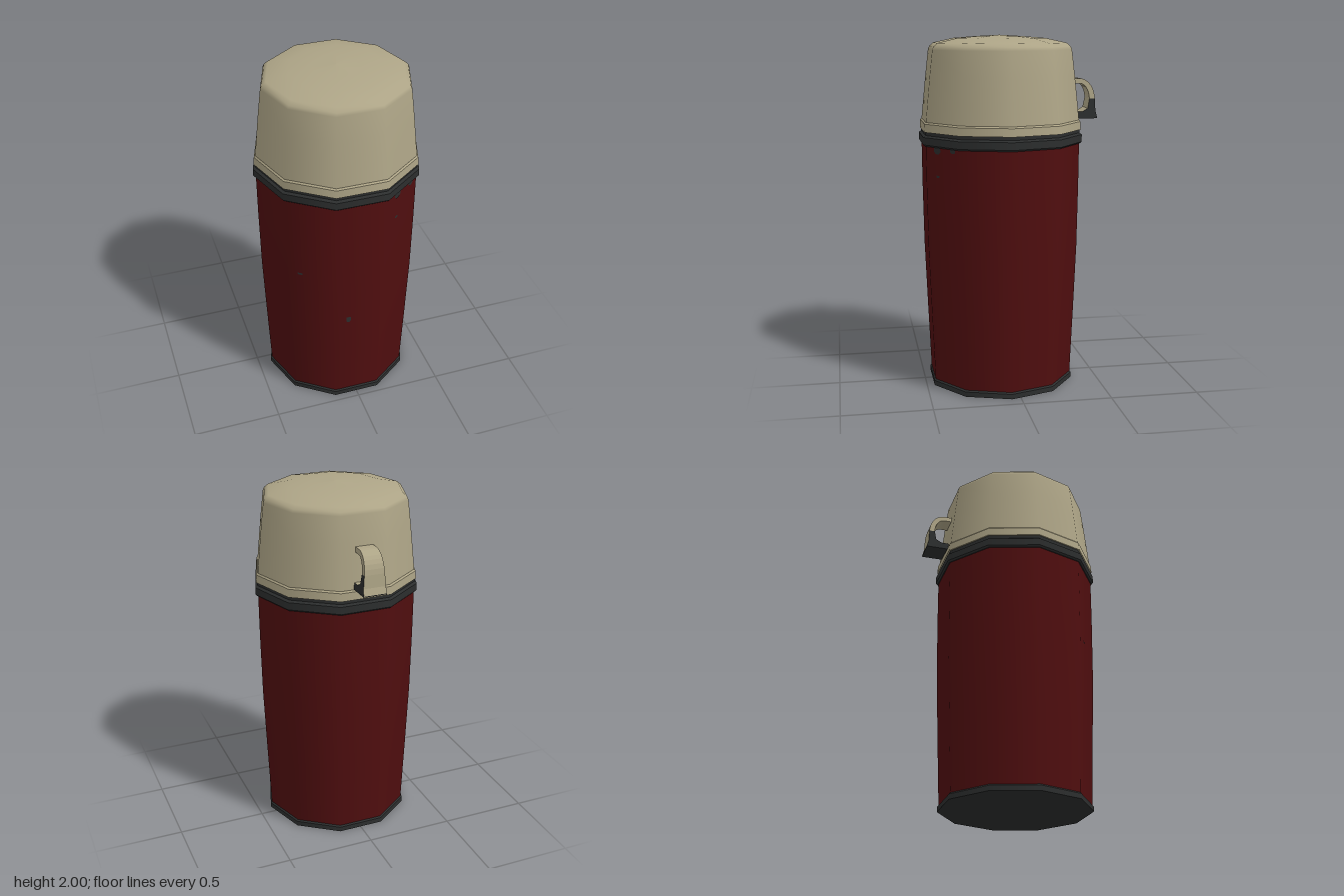
import * as THREE from 'three';

const SIDES = 10;

export function createModel() {
  const material = (name, color) => {
    const m = new THREE.MeshStandardMaterial({ color });
    m.name = name;
    return m;
  };
  const cream = material('cream', 0xaea587);
  const red = material('dark red', 0x500e0f);
  const dark = material('charcoal', 0x2c2e2e);

  const model = new THREE.Group();
  model.name = 'vacuumFlask';
  // The ten-sided flask sits slightly forward to leave room for the handle
  const flask = new THREE.Group();
  flask.name = 'flask';
  flask.position.z = 0.053;
  model.add(flask);

  const add = (parent, name, geometry, mat) => {
    const mesh = new THREE.Mesh(geometry, mat);
    mesh.name = name;
    parent.add(mesh);
    return mesh;
  };
  // Straight or tapered ten-sided ring, closed at both ends
  const band = (name, y0, y1, r0, r1, mat) => {
    const g = new THREE.CylinderGeometry(r1, r0, y1 - y0, SIDES);
    g.rotateY(Math.PI / 2).translate(0, (y0 + y1) / 2, 0);
    add(flask, name, g, mat);
  };
  // Smooth turned surface
  const turned = (name, points, mat) => {
    const g = new THREE.LatheGeometry(points.map(p => new THREE.Vector2(...p)), SIDES);
    g.rotateY(Math.PI / 2);
    add(flask, name, g, mat);
  };

  // Base and body
  band('base', 0, 0.028, 0.425, 0.425, dark);
  band('baseBevel', 0.028, 0.037, 0.425, 0.417, dark);
  turned('body', [[0.417, 0.03], [0.433, 0.4], [0.449, 0.8], [0.455, 1.15], [0.457, 1.41]], red);

  // Collar
  band('collarLowerBevel', 1.395, 1.404, 0.462, 0.472, dark);
  band('collar', 1.404, 1.445, 0.472, 0.472, dark);
  band('collarUpperBevel', 1.445, 1.455, 0.472, 0.458, dark);
  band('collarNeck', 1.45, 1.48, 0.458, 0.458, dark);

  // Cup lid
  band('cupRim', 1.473, 1.518, 0.466, 0.463, cream);
  band('cupRimBevel', 1.518, 1.527, 0.463, 0.455, cream);
  turned('cup', [[0.455, 1.525], [0.442, 1.65], [0.428, 1.78], [0.411, 1.92],
    [0.403, 1.938], [0.38, 1.957], [0.26, 1.983], [0.13, 1.993], [0, 2]], cream);

  // Cup handle: side outline in (distance behind centre, height)
  const handle = new THREE.Group();
  handle.name = 'handle';
  model.add(handle);
  const upper = new THREE.Shape();
  upper.moveTo(0.34, 1.755);
  upper.lineTo(0.4, 1.755);
  upper.bezierCurveTo(0.45, 1.755, 0.488, 1.71, 0.492, 1.64);
  upper.lineTo(0.46, 1.64);
  upper.bezierCurveTo(0.458, 1.69, 0.435, 1.727, 0.4, 1.727);
  upper.lineTo(0.34, 1.727);
  const lower = new THREE.Shape([
    [0.46, 1.64], [0.492, 1.64], [0.495, 1.57], [0.505, 1.532], [0.36, 1.532],
    [0.36, 1.565], [0.42, 1.567], [0.45, 1.585],
  ].map(p => new THREE.Vector2(...p)));
  // Extrude across x, flaring wider toward the bottom
  const strap = shape => {
    const g = new THREE.ExtrudeGeometry(shape, { depth: 2, bevelEnabled: false, curveSegments: 7 });
    g.translate(0, 0, -1);
    const p = g.attributes.position;
    for (let i = 0; i < p.count; i++) {
      const halfWidth = 0.05 + 0.016 * (1.755 - p.getY(i)) / 0.225;
      p.setZ(i, p.getZ(i) * halfWidth);
    }
    g.rotateY(Math.PI / 2);
    g.computeVertexNormals();
    return g;
  };
  add(handle, 'handleArch', strap(upper), cream);
  add(handle, 'handleFoot', strap(lower), [dark, cream]);
  add(handle, 'handleUnderside', new THREE.BoxGeometry(0.132, 0.005, 0.145), dark)
    .position.set(0, 1.53, -0.4325);

  // Worn paint chips: [facet index, offset along facet, height, width, drop]
  const chips = [
    [0, -0.062, 0.605, 0.026, 0.036],
    [-1, -0.068, 0.915, 0.03, 0.012],
    [1, -0.045, 1.235, 0.024, 0.012],
    [1, -0.045, 1.38, 0.05, 0.04],
    [1, 0.08, 1.387, 0.04, 0.028],
  ];
  const bodyRadius = y => y < 0.8 ? 0.417 + 0.032 * (y / 0.8) : 0.449 + 0.008 * (y - 0.8) / 0.6;
  for (const [facet, offset, y, w, h] of chips) {
    const shape = new THREE.Shape([
      [-w / 2, h / 2], [-w / 2, -h * 0.2], [-w / 4, -h / 2], [w / 4, -h / 2], [w / 2, -h * 0.2], [w / 2, h / 2],
    ].reverse().map(p => new THREE.Vector2(...p)));
    const g = new THREE.ShapeGeometry(shape);
    g.translate(offset, y, bodyRadius(y) * Math.cos(Math.PI / SIDES) + 0.003);
    g.rotateY(facet * 2 * Math.PI / SIDES);
    add(flask, 'paintChip', g, dark);
  }
  return model;
}
